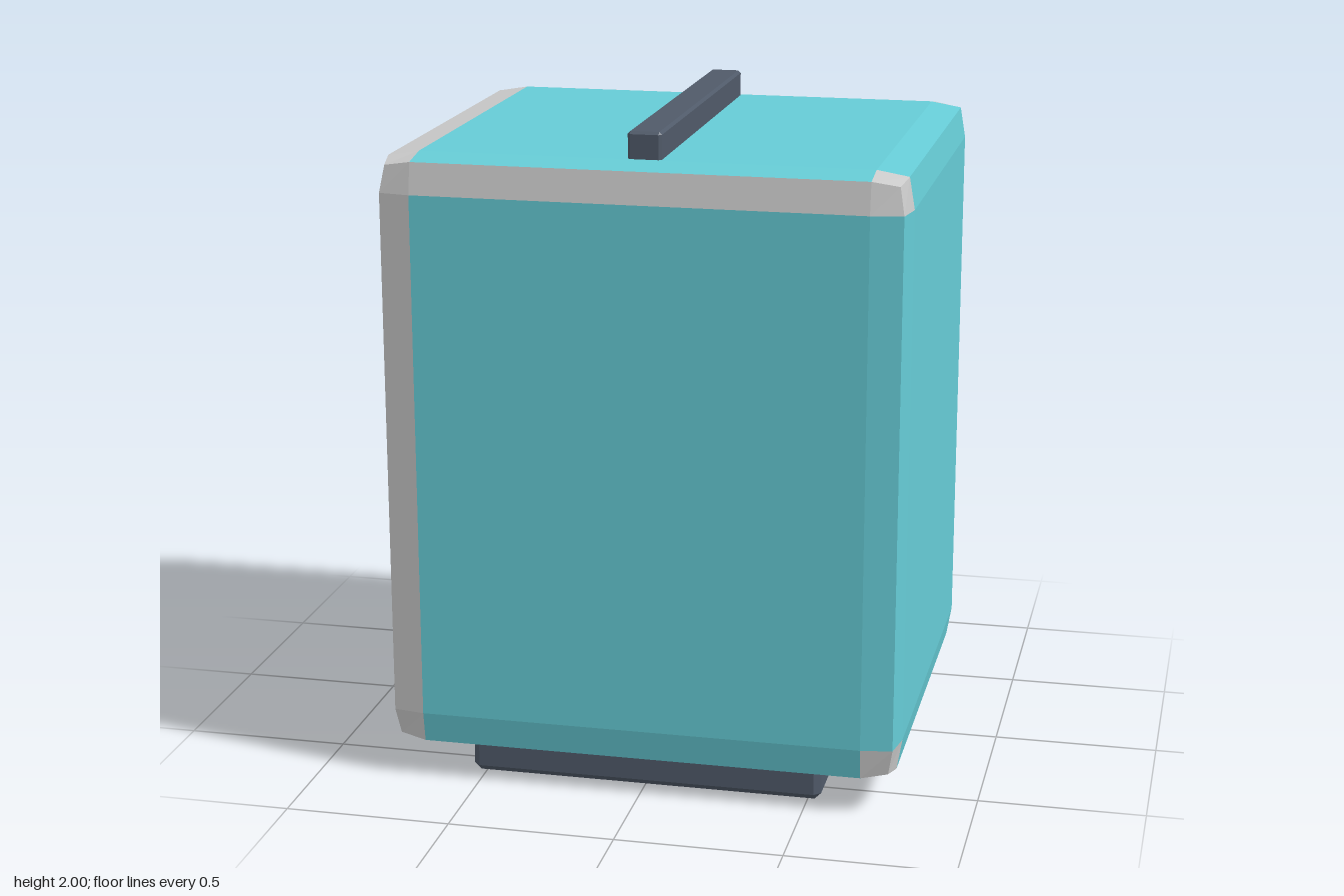
import * as THREE from 'three';

const material = (color) => new THREE.MeshStandardMaterial({ color, flatShading: true });

// Box cut into 3 x 3 cells per side. "inset" is the width of the border cells,
// edges are pulled in by "edge" and corners by "corner".
// Returns one geometry for each value that pick(normal, side) gives.
function bevelledBox(half, inset, edge, corner, pick = () => 0) {
  const pos = new THREE.BoxGeometry(3, 3, 3, 3, 3, 3).toNonIndexed().getAttribute('position');
  const sets = [[], []];
  for (let i = 0; i < pos.count; i += 3) {
    const tri = [0, 1, 2].map((k) => [pos.getX(i + k), pos.getY(i + k), pos.getZ(i + k)]);
    // cell of the triangle: which face it lies on and which borders it touches
    const mean = [0, 1, 2].map((a) => (tri[0][a] + tri[1][a] + tri[2][a]) / 3);
    const axis = mean.findIndex((m) => Math.abs(m) > 1.4);
    const normal = mean.map((m, a) => (a === axis ? Math.sign(m) : 0));
    const side = mean.map((m, a) => (a === axis ? 0 : Math.round(m)));
    for (const p of tri) {
      const outer = p.filter((v) => Math.abs(v) > 1).length;
      const pull = [0, 0, edge, corner][outer];
      sets[pick(normal, side)].push(
        ...p.map((v, a) => Math.sign(v) * (half[a] - (Math.abs(v) > 1 ? pull : inset)))
      );
    }
  }
  return sets.map((points) => {
    const g = new THREE.BufferGeometry();
    g.setAttribute('position', new THREE.Float32BufferAttribute(points, 3));
    g.computeVertexNormals();
    return g;
  });
}

// 1 for the pale trim cells, 0 for the coloured cells
function trimCell([nx, ny, nz], [sx, sy, sz]) {
  const borders = Math.abs(sx) + Math.abs(sy) + Math.abs(sz);
  if (borders === 0) return 0;
  if (borders === 2 || nx < 0 || sx < 0) return 1;
  return (nz !== 0 && sy > 0) || (ny > 0 && sz < 0) ? 1 : 0;
}

export function createModel() {
  const model = new THREE.Group();
  const add = (name, geometry, mat, x, y, z) => {
    const mesh = new THREE.Mesh(geometry, mat);
    mesh.name = name;
    mesh.position.set(x, y, z);
    model.add(mesh);
  };
  const dark = material(0x505a69);

  // Main block with softly pillowed edges
  const [panels, trim] = bevelledBox([0.78, 0.91, 0.69], 0.11, 0.016, 0.03, trimCell);
  add('bodyPanels', panels, material(0x66ccd6), 0, 1.01, 0);
  add('bodyTrim', trim, material(0xcccccc), 0, 1.01, 0);

  // Bar along the top
  const [bar] = bevelledBox([0.05, 0.06, 0.575], 0.008, 0.004, 0.0053);
  add('topBar', bar, dark, 0, 1.94, 0);

  // Foot plate under the front half
  const [foot] = bevelledBox([0.54, 0.065, 0.34], 0.02, 0.01, 0.0133);
  add('footPlate', foot, dark, 0, 0.065, 0.27);

  return model;
}
